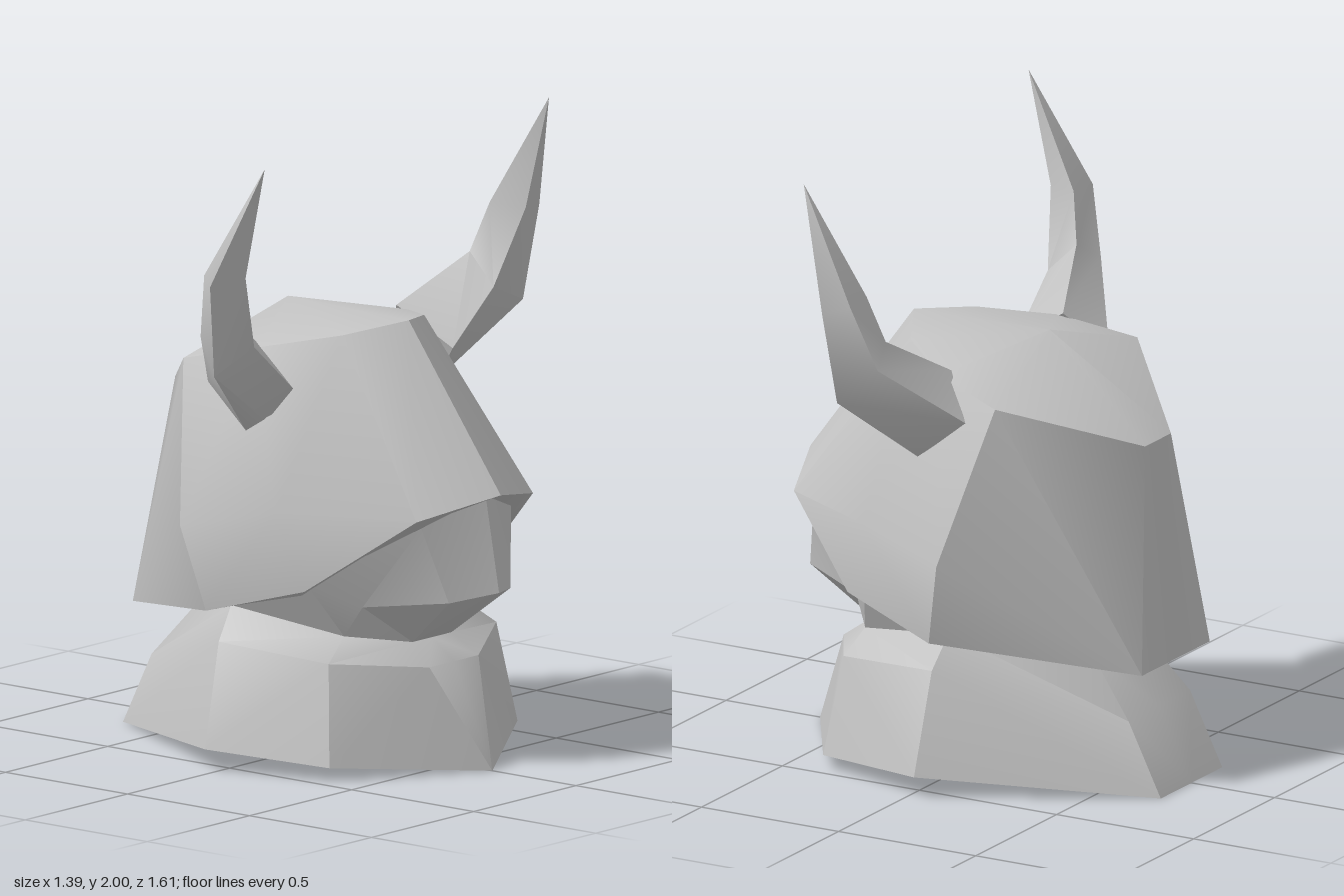
import * as THREE from 'three';
import { toCreasedNormals } from 'three/addons/utils/BufferGeometryUtils.js';

const grey = new THREE.MeshStandardMaterial({ color: 0xc4c4c4, side: THREE.DoubleSide });
grey.name = 'plain grey';

const mirror = (p) => [p[0], p[1], -p[2]];

// Makes a mesh from groups of polygons, turning each face away from its group's centre
function shell(name, groups, crease) {
  const pos = [];
  const n = new THREE.Vector3();
  for (const { polygons, centre } of groups) {
    const c = new THREE.Vector3(...centre);
    for (const poly of polygons) {
      for (let i = 1; i < poly.length - 1; i++) {
        const t = [poly[0], poly[i], poly[i + 1]].map((p) => new THREE.Vector3(...p));
        THREE.Triangle.getNormal(t[0], t[1], t[2], n);
        if (n.lengthSq() === 0) continue;
        const mid = t[0].clone().add(t[1]).add(t[2]).divideScalar(3).sub(c);
        if (n.dot(mid) < 0) t.reverse();
        t.forEach((v) => pos.push(v.x, v.y, v.z));
      }
    }
  }
  const geo = new THREE.BufferGeometry();
  geo.setAttribute('position', new THREE.Float32BufferAttribute(pos, 3));
  const mesh = new THREE.Mesh(toCreasedNormals(geo, crease), grey);
  mesh.name = name;
  return mesh;
}

const bothSides = (polys) => [...polys, ...polys.map((poly) => poly.map(mirror))];

// Quads between two rows of points
const band = (a, b) => a.slice(1).map((p, i) => [a[i], p, b[i + 1], b[i]]);

function makeHelmet() {
  const rim = [[0.692, 0.89, 0], [0.585, 0.835, 0.285], [0.28, 0.6, 0.47], [-0.06, 0.505, 0.545], [-0.64, 0.4, 0.21], [-0.64, 0.4, 0]];
  const inner = [[0.62, 0.885, 0], [0.52, 0.8, 0.23], [0.22, 0.57, 0.41], [-0.06, 0.5, 0.43], [-0.43, 0.41, 0.15], [-0.43, 0.41, 0]];
  const top = [[0.315, 1.4, 0], [0.21, 1.37, 0.2], [0, 1.33, 0.37], [-0.24, 1.275, 0.44], [-0.575, 1.11, 0.08], [-0.575, 1.11, 0]];
  const temple = [0.2, 0.85, 0.515];
  const widest = [-0.12, 0.78, 0.6];
  const crown = [-0.18, 1.41, 0];
  const core = [-0.05, 0.66, 0];
  const half = [
    // front dome and sides
    [rim[0], rim[1], top[0]], [top[0], rim[1], top[1]],
    [top[1], rim[1], temple], [top[1], temple, top[2]], [rim[1], rim[2], temple],
    [top[2], temple, widest, top[3]], [temple, rim[2], rim[3], widest],
    // back panels
    [top[3], widest, rim[4], top[4]], [widest, rim[3], rim[4]],
    [top[4], rim[4], rim[5], top[5]],
    // crown
    ...top.slice(1).map((p, i) => [crown, top[i], p]),
    // underside
    ...band(rim, inner),
    ...inner.slice(1).map((p, i) => [core, inner[i], p]),
  ];
  return shell('helmet', [{ polygons: bothSides(half), centre: [-0.05, 0.95, 0] }], 0.7);
}

function makeFace() {
  const brow = [0.63, 0.88, 0], nose = [0.685, 0.575, 0], chin = [0.41, 0.395, 0];
  const browSide = [0.55, 0.8, 0.22], noseSide = [0.605, 0.555, 0.15], chinSide = [0.41, 0.395, 0.095];
  const cheek = [0.25, 0.61, 0.42], jaw = [0.31, 0.435, 0.31], ear = [-0.06, 0.5, 0.42];
  const hollow = [0.36, 0.53, 0.28];
  const half = [
    [brow, browSide, noseSide, nose], [nose, noseSide, chinSide, chin],
    // sunken cheek beside the muzzle
    ...[browSide, cheek, jaw, chinSide, noseSide].map((p, i, loop) => [hollow, p, loop[(i + 1) % 5]]),
    [cheek, ear, jaw],
  ];
  return shell('face', [{ polygons: bothSides(half), centre: [0.1, 0.6, 0] }], 0.4);
}

function makeCollar() {
  const upper = [[0.41, 0.395, 0], [0.41, 0.395, 0.095], [0.31, 0.435, 0.31], [-0.06, 0.505, 0.42], [-0.43, 0.41, 0.15], [-0.43, 0.41, 0]];
  const middle = [[0.5, 0.33, 0], [0.5, 0.33, 0.12], [0.33, 0.365, 0.41], [-0.045, 0.4, 0.5], [-0.58, 0.235, 0.19], [-0.58, 0.235, 0]];
  const lower = [[0.657, 0, 0], [0.657, 0, 0], [0.375, 0.045, 0.46], [-0.03, 0.07, 0.585], [-0.697, 0, 0.19], [-0.697, 0, 0]];
  const base = [-0.03, 0.07, 0];
  const half = [
    ...band(upper, middle), ...band(middle, lower),
    ...lower.slice(1).map((p, i) => [base, lower[i], p]),
  ];
  return shell('collar', [{ polygons: bothSides(half), centre: [0, 0.25, 0] }], 0.7);
}

// Curved horn; each section runs back, low, outer, front, inner
function makeHorn(name, flip) {
  const outerMid = [0.15, 1.32, 0.755], outerHigh = [0.175, 1.62, 0.805];
  const sections = [
    [[-0.135, 1.215, 0.445], [0.03, 1.08, 0.455], [0.085, 1.115, 0.42], [0.168, 1.225, 0.39], [-0.025, 1.345, 0.345]],
    [[0.04, 1.425, 0.69], outerMid, outerMid, [0.172, 1.39, 0.585], [0.07, 1.49, 0.59]],
    [[0.105, 1.64, 0.75], outerHigh, outerHigh, [0.22, 1.635, 0.685], [0.11, 1.645, 0.64]],
    Array(5).fill([0.307, 2, 0.695]),
  ].map((s) => (flip ? s.map(mirror) : s));
  const middleOf = (pts) => [0, 1, 2].map((k) => pts.reduce((sum, p) => sum + p[k], 0) / pts.length);
  const segments = sections.slice(1).map((b, i) => {
    const a = sections[i];
    return { polygons: band([...a, a[0]], [...b, b[0]]), centre: middleOf([...a, ...b]) };
  });
  segments[0].polygons.push(sections[0]);
  return shell(name, segments, 0.65);
}

export function createModel() {
  const model = new THREE.Group();
  model.name = 'hornedHelmetBust';
  model.add(makeHelmet(), makeFace(), makeCollar(), makeHorn('leftHorn', false), makeHorn('rightHorn', true));
  return model;
}
